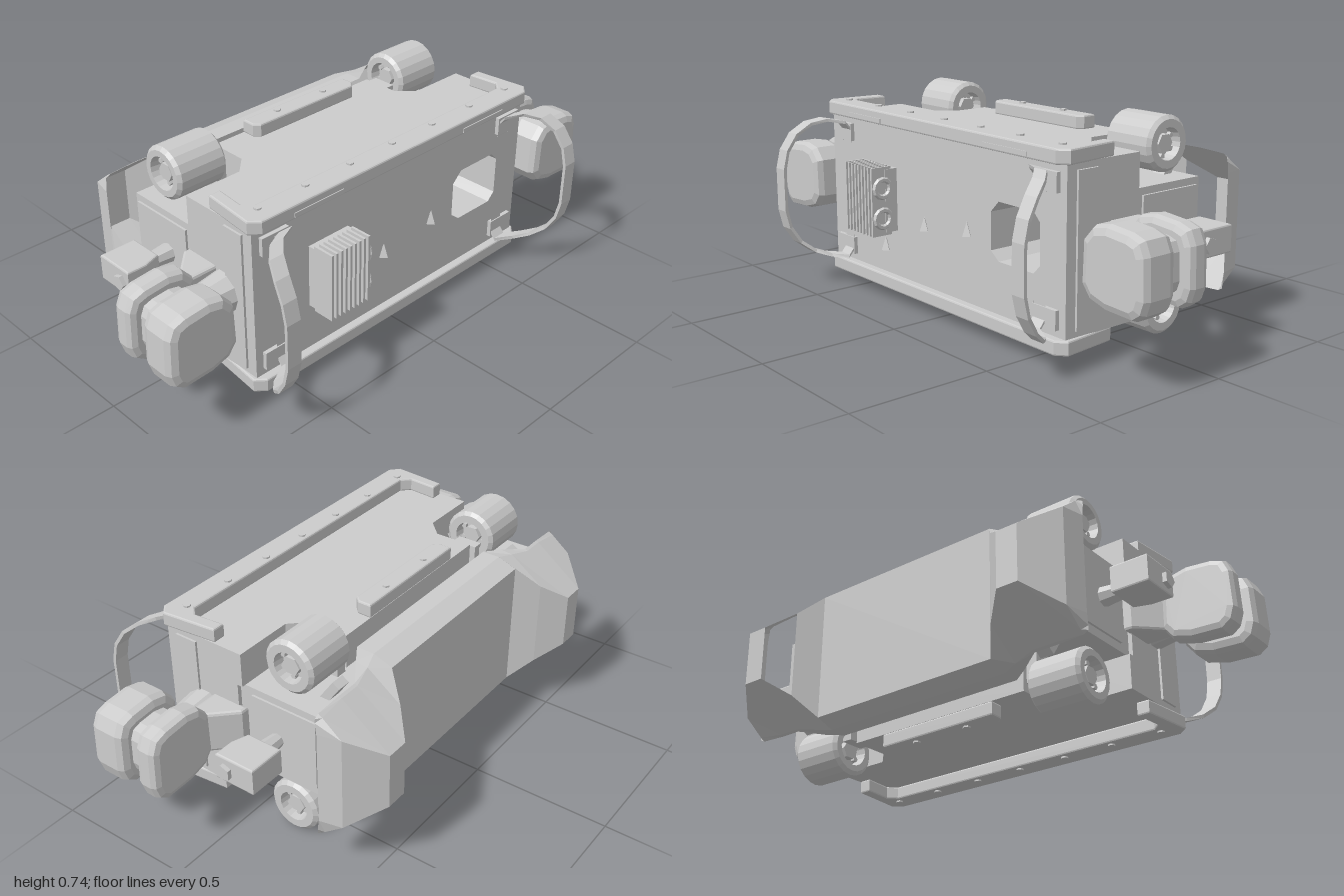
import * as THREE from 'three';

const CY = 0.375; // the machine is symmetric about this height
const mat = new THREE.MeshStandardMaterial({ color: 0xcccccc, flatShading: true, side: THREE.DoubleSide });

function add(parent, name, geo, x = 0, y = 0, z = 0) {
  const m = new THREE.Mesh(geo, mat);
  m.name = name;
  m.position.set(x, y, z);
  parent.add(m);
  return m;
}

// box from its min and max along each axis
function box(parent, name, x0, x1, y0, y1, z0, z1) {
  return add(parent, name, new THREE.BoxGeometry(Math.abs(x1 - x0), y1 - y0, z1 - z0),
    (x0 + x1) / 2, (y0 + y1) / 2, (z0 + z1) / 2);
}

const poly = (pts) => new THREE.Shape(pts.map((p) => new THREE.Vector2(p[0], p[1])));

// outline in x,y pushed along z
function slabZ(shape, z0, z1, bevel = 0) {
  const g = new THREE.ExtrudeGeometry(shape, {
    depth: z1 - z0 - 2 * bevel, bevelEnabled: bevel > 0, bevelSize: bevel,
    bevelThickness: bevel, bevelOffset: -bevel, bevelSegments: 2, curveSegments: 4,
  });
  return g.translate(0, 0, z0 + bevel);
}

// outline in x,z pushed along y
function slabY(pts, y0, y1, bevel = 0) {
  const g = slabZ(poly(pts.map(([x, z]) => [x, -z])), y0, y1, bevel);
  return g.rotateX(-Math.PI / 2);
}

// half outline mirrored to a full symmetric one
const mirrorX = (half) => [...half, ...half.map(([x, z]) => [-x, z]).reverse()];

function rectShape(x0, x1, y0, y1, hole) {
  const s = poly([[x0, y0], [x1, y0], [x1, y1], [x0, y1]]);
  if (hole) s.holes.push(poly(hole));
  return s;
}

// skin through cross-sections
function loft(rings, closed, skip = () => false) {
  const n = rings[0].length, idx = [];
  for (let i = 0; i < rings.length - 1; i++) {
    for (let j = 0; j < (closed ? n : n - 1); j++) {
      if (skip(i, j)) continue;
      const a = i * n + j, b = i * n + (j + 1) % n;
      idx.push(a, b, a + n, b, b + n, a + n);
    }
  }
  const g = new THREE.BufferGeometry();
  g.setAttribute('position', new THREE.Float32BufferAttribute(rings.flat(2), 3));
  g.setIndex(idx);
  g.computeVertexNormals();
  return g;
}

function buildBody(g) {
  // window that opens through to the back
  const win = [[0.33, 0.28], [0.5, 0.28], [0.53, 0.31], [0.53, 0.45], [0.5, 0.48], [0.33, 0.48], [0.29, 0.44], [0.29, 0.31]];
  const through = [[0.44, 0.31], [0.53, 0.31], [0.53, 0.47], [0.47, 0.47], [0.44, 0.42]];
  add(g, 'mainBody', slabZ(rectShape(-0.65, 0.65, 0.1, 0.65, win), 0.02, 0.31));
  add(g, 'rearBlock', slabZ(rectShape(-0.635, 0.635, 0.22, 0.53, through), -0.3, 0.02));
  const deck = mirrorX([[0.65, 0.31], [0.65, 0], [0.43, 0], [0.37, -0.06], [0.37, -0.2]]);
  add(g, 'upperDeck', slabY(deck, 0.53, 0.652));
  add(g, 'lowerDeck', slabY(deck, 0.098, 0.22));
  // U-shaped rails, rear bars and bolts
  const rail = mirrorX([[0.63, 0.34], [0.665, 0.31], [0.645, 0.11], [0.6, 0.11], [0.61, 0.22], [0.58, 0.25]]);
  for (const t of [1, -1]) {
    const y = (v) => CY + t * v;
    const lo = Math.min(y(0.275), y(0.325)), hi = lo + 0.05;
    add(g, 'rimRail', slabY(rail, lo, hi, 0.006));
    const bar = mirrorX([[0.24, -0.2], [0.24, -0.15], [0.22, -0.13]]);
    add(g, 'rearBar', slabY(bar, lo, hi, 0.006));
    for (let i = -3; i <= 3; i++) add(g, 'bolt', new THREE.CylinderGeometry(0.013, 0.013, 0.012, 8), i * 0.197, y(0.325), 0.275);
    for (const x of [-0.11, 0.11]) add(g, 'bolt', new THREE.CylinderGeometry(0.013, 0.013, 0.012, 6), x, y(0.325), -0.17);
    for (const s of [1, -1]) {
      box(g, 'railSlotTrim', s * 0.29, s * 0.5, y(t * 0.29) - 0.008, y(t * 0.29) + 0.008, 0.33, 0.343);
      box(g, 'cornerBlock', s * 0.51, s * 0.62, Math.min(y(0.185), y(0.25)), Math.max(y(0.185), y(0.25)), 0.3, 0.325);
    }
  }
  // finned cooler on the front
  box(g, 'coolerBase', -0.415, -0.24, 0.27, 0.5, 0.31, 0.36);
  for (let i = 0; i < 9; i++) {
    const x = -0.415 + i * 0.0205;
    box(g, 'coolerFin', x, x + 0.009, 0.26, 0.51, 0.335, 0.415);
  }
  for (const y of [0.325, 0.435]) {
    const fan = add(g, 'coolerFan', new THREE.TorusGeometry(0.032, 0.01, 6, 12), -0.235, y, 0.375);
    fan.rotation.y = Math.PI / 2;
  }
  // small catches on the front plate
  for (const [x, y] of [[-0.07, 0.33], [0.17, 0.36], [-0.31, 0.21]]) {
    add(g, 'frontCatch', new THREE.ConeGeometry(0.02, 0.05, 4), x, y, 0.315);
  }
}

// thin bumper shell at the rear with two projecting lobes
function buildRearShell(g) {
  // x, then half height and z from the lip to the back face
  const cols = [
    [0.38, 0.26, -0.25, 0.26, -0.315, 0.235, -0.385],
    [0.44, 0.255, -0.29, 0.25, -0.335, 0.16, -0.46],
    [0.52, 0.24, -0.345, 0.235, -0.355, 0.1, -0.535],
    [0.6, 0.24, -0.345, 0.235, -0.355, 0.1, -0.535],
    [0.7, 0.235, -0.345, 0.225, -0.36, 0.17, -0.43],
    [0.718, 0.225, -0.345, 0.21, -0.345, 0.17, -0.35],
  ];
  const ring = (s) => ([x, h0, z0, h1, z1, h2, z2]) => [
    [s * x, CY + h0, z0], [s * x, CY + h1, z1], [s * x, CY + h2, z2],
    [s * x, CY - h2, z2], [s * x, CY - h1, z1], [s * x, CY - h0, z0]];
  const rings = [...cols.slice().reverse().map(ring(-1)), ...cols.map(ring(1))];
  // the opening lies in the lobe on the window side
  add(g, 'rearShell', loft(rings, false, (i, j) => i === 7 && j === 2));
}

function buildWheels(g) {
  const prof = [[0.03, 0.06], [0.055, 0.06], [0.06, 0.1], [0.082, 0.1], [0.095, 0.088], [0.095, -0.088], [0.082, -0.1], [0.055, -0.1], [0.05, -0.06], [0.03, -0.06]];
  for (const s of [1, -1]) for (const t of [1, -1]) {
    const w = new THREE.Group();
    w.name = 'wheel';
    w.position.set(s * 0.52, CY + t * 0.277, -0.165);
    g.add(w);
    const tyre = add(w, 'tyre', new THREE.LatheGeometry(prof.map((p) => new THREE.Vector2(...p)), 20));
    const hub = add(w, 'hub', new THREE.CylinderGeometry(0.033, 0.033, 0.17, 6));
    tyre.rotation.z = hub.rotation.z = Math.PI / 2;
    for (let i = 0; i < 6; i++) {
      const a = i * Math.PI / 3;
      const b = add(w, 'hubBolt', new THREE.CylinderGeometry(0.01, 0.01, 0.15, 5), 0, 0.045 * Math.cos(a), 0.045 * Math.sin(a));
      b.rotation.z = Math.PI / 2;
    }
    // cradle arms that hold the wheel
    for (const d of [1, -1]) {
      const arm = add(g, 'wheelArm', new THREE.BoxGeometry(0.05, 0.11, 0.03), s * 0.52, CY + t * 0.175, -0.165 + d * 0.095);
      arm.rotation.x = d * t * 0.6;
    }
    box(g, 'axleBlock', s * 0.39, s * 0.43, CY + t * 0.2 - 0.06, CY + t * 0.2 + 0.06, -0.21, -0.12);
  }
}

function buildSide(g, s) {
  // rounded grip pods with a thinner core between them
  const outline = [[0.735, 0.31], [0.77, 0.265], [0.84, 0.245], [0.95, 0.24], [0.985, 0.265], [1, 0.31], [0.995, 0.44], [0.975, 0.485], [0.93, 0.5], [0.84, 0.508], [0.78, 0.495], [0.74, 0.45]];
  const podShape = (k) => poly(outline.map(([x, y]) => [s * (0.868 + (x - 0.868) * k), CY + (y - CY) * k]));
  add(g, 'outerPod', slabZ(podShape(1), 0.2, 0.34, 0.03));
  add(g, 'innerPod', slabZ(podShape(1), 0.06, 0.145, 0.025));
  add(g, 'podCore', slabZ(podShape(0.68), 0.13, 0.21));
  // pivot and bracket joining the pods to the body
  const pivot = add(g, 'armPivot', new THREE.CylinderGeometry(0.075, 0.055, 0.14, 10), s * 0.71, CY, 0.17);
  pivot.rotation.z = s * Math.PI / 2;
  add(g, 'armBracket', slabY([[s * 0.64, -0.01], [s * 0.67, -0.01], [s * 0.76, 0.08], [s * 0.76, 0.13], [s * 0.64, 0.13]], 0.3, 0.45, 0.01));
  box(g, 'endPanel', s * 0.64, s * 0.658, 0.12, 0.63, 0.185, 0.27);
  box(g, 'rearEndPlate', s * 0.63, s * 0.643, 0.25, 0.505, -0.285, -0.03);
  // side actuator
  const shaft = add(g, 'actuatorShaft', new THREE.CylinderGeometry(0.025, 0.035, 0.1, 8), s * 0.69, CY, -0.13);
  shaft.rotation.z = Math.PI / 2;
  add(g, 'actuator', slabY([[s * 0.72, -0.21], [s * 0.855, -0.21], [s * 0.855, -0.06], [s * 0.78, -0.06], [s * 0.72, -0.08]], 0.33, 0.425, 0.006));
  const nut = add(g, 'actuatorNut', new THREE.CylinderGeometry(0.028, 0.028, 0.03, 5), s * 0.855, CY, -0.1);
  nut.rotation.z = Math.PI / 2;

  // curved guard loop at the front corner
  const half = [[0.185, 0.322], [0.235, 0.322], [0.262, 0.345], [0.266, 0.38], [0.25, 0.425], [0.21, 0.475], [0.15, 0.513], [0.08, 0.53]];
  const path = [...half, ...half.map(([h, z]) => [-h, z]).reverse()];
  const rings = path.map(([h, z]) => {
    const d = Math.min(0.19, 0.53 - z), x = 0.52 + Math.sqrt(Math.max(0, 0.19 ** 2 - d * d));
    const ny = h, nz = z - 0.3, l = Math.hypot(ny, nz), k = 0.012 / l;
    const x0 = s * Math.max(0.515, x - 0.055), x1 = s * Math.max(0.57, x);
    const y1 = CY + h, y0 = y1 - ny * k, z0 = z - nz * k;
    return [[x0, y0, z0], [x1, y0, z0], [x1, y1, z], [x0, y1, z]];
  });
  add(g, 'guardLoop', loft(rings, true));
}

export function createModel() {
  const g = new THREE.Group();
  g.name = 'utilityModule';
  buildBody(g);
  buildRearShell(g);
  buildWheels(g);
  for (const s of [1, -1]) {
    const side = new THREE.Group();
    side.name = s > 0 ? 'leftSide' : 'rightSide';
    g.add(side);
    buildSide(side, s);
  }
  return g;
}
